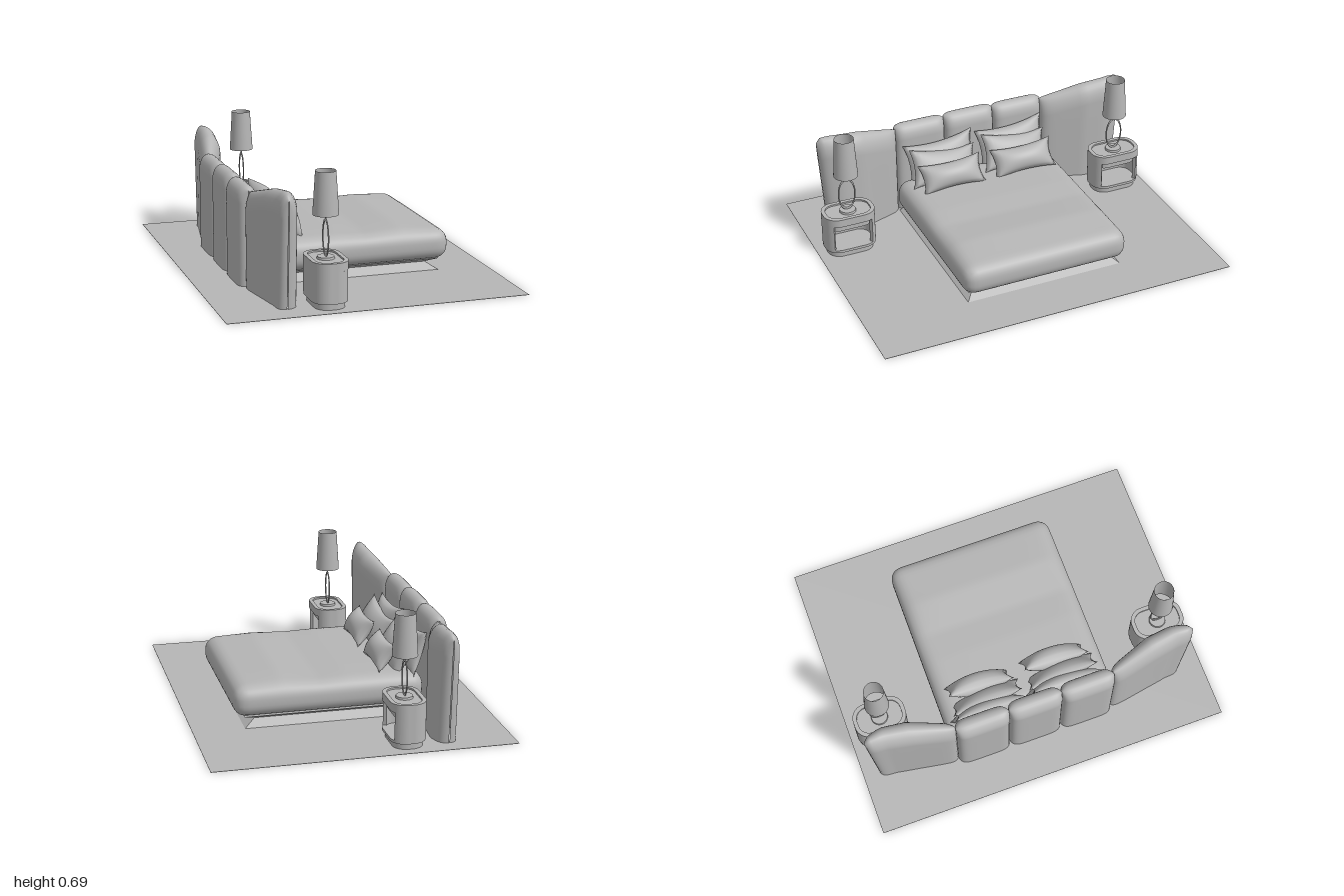
import * as THREE from 'three';
import { mergeVertices, mergeGeometries } from 'three/addons/utils/BufferGeometryUtils.js';

const grey = new THREE.MeshStandardMaterial({ color: 0xb6b6b6, side: THREE.DoubleSide });
grey.name = 'warm grey';

function add(parent, name, geometry, x = 0, y = 0, z = 0) {
  const mesh = new THREE.Mesh(geometry, grey);
  mesh.name = name;
  mesh.position.set(x, y, z);
  parent.add(mesh);
  return mesh;
}

// piecewise linear lookup in [t, value] pairs
function lookup(pairs, t) {
  for (let i = 1; i < pairs.length; i++) {
    const [a, va] = pairs[i - 1], [b, vb] = pairs[i];
    if (t <= b) return va + (vb - va) * (t - a) / (b - a);
  }
  return pairs[pairs.length - 1][1];
}

function smooth(geometry) {
  geometry.deleteAttribute('normal');
  geometry.deleteAttribute('uv');
  const merged = mergeVertices(geometry, 1e-5);
  merged.computeVertexNormals();
  return merged;
}

// upholstered slab: arch sections in x/y, swept along z; section(t) gives z, x, half, height, cap, skew
function slab(section, rows = 28) {
  const pos = [], index = [], cols = 22;
  for (let i = 0; i <= rows; i++) {
    const t = (1 - Math.cos(Math.PI * i / rows)) / 2;
    const { z, x, half, height, cap, skew = 0 } = section(t);
    for (let j = 0; j <= cols; j++) {
      let px, py;
      if (j < 4 || j > cols - 4) {
        const k = j < 4 ? j : cols - j;
        px = j < 4 ? half : -half;
        py = 0.001 + (height - cap) * k / 4;
      } else {
        const a = Math.PI * (j - 4) / (cols - 8);
        px = half * Math.cos(a);
        py = height - cap + cap * Math.sin(a);
      }
      pos.push(x + px, py, z + skew * (py / height - 1));
    }
  }
  for (let i = 0; i < rows; i++) for (let j = 0; j < cols; j++) {
    const a = i * (cols + 1) + j, b = a + cols + 1;
    index.push(a, a + 1, b, b, a + 1, b + 1);
  }
  const g = new THREE.BufferGeometry();
  g.setAttribute('position', new THREE.Float32BufferAttribute(pos, 3));
  // outward faces: front faces +x
  g.setIndex(index.flatMap((_, i) => i % 3 ? [] : [index[i], index[i + 2], index[i + 1]]));
  g.computeVertexNormals();
  return g;
}

const roundEnd = (t, n) => Math.sqrt(Math.max(0, 1 - Math.pow(Math.abs(2 * t - 1), n)));

// rounded box whose subdivided faces can be shaped further
function cushionBox(w, h, d, r) {
  const g = new THREE.BoxGeometry(w, h, d, 40, 10, 38), p = g.attributes.position;
  const v = new THREE.Vector3(), core = new THREE.Vector3();
  const lim = new THREE.Vector3(w / 2 - r, h / 2 - r, d / 2 - r), neg = lim.clone().negate();
  for (let i = 0; i < p.count; i++) {
    v.fromBufferAttribute(p, i);
    core.copy(v).clamp(neg, lim);
    v.sub(core).normalize().multiplyScalar(r).add(core);
    if (v.y > 0) {
      const edge = Math.max(0, 1 - Math.pow(2 * v.z / d, 6));
      v.y += (v.y / (h / 2)) * edge * lookup([[-0.51, 0.01], [-0.1, 0.012], [0.05, 0.002], [0.25, 0.02], [0.42, 0.006], [0.51, 0]], v.x);
    }
    p.setXYZ(i, v.x, v.y, v.z);
  }
  return smooth(g);
}

// pillow with pinched corners and a soft middle
function pillowGeometry(w, h, thick) {
  const sides = [1, -1].map(s => {
    const g = new THREE.PlaneGeometry(2, 2, 16, 16);
    if (s < 0) g.rotateY(Math.PI);
    const p = g.attributes.position;
    for (let i = 0; i < p.count; i++) {
      const u = p.getX(i), v = p.getY(i);
      const puff = Math.pow(Math.max(0, (1 - u * u) * (1 - v * v)), 0.55);
      p.setXYZ(i, u * w / 2 * (1 - 0.1 * (1 - v * v)), v * h / 2 * (1 - 0.2 * (1 - u * u)), s * thick / 2 * puff);
    }
    return g;
  });
  return smooth(mergeGeometries(sides));
}

function pillow(parent, name, size, at, lean, roll, yaw = 0) {
  const m = add(parent, name, pillowGeometry(...size), ...at);
  m.rotation.set(-lean, Math.PI / 2 + yaw, roll, 'YXZ');
}

// rounded rectangle path of half sizes a, b
function roundRect(a, b, r, Type = THREE.Shape) {
  const s = new Type();
  s.absarc(a - r, b - r, r, 0, Math.PI / 2);
  s.absarc(r - a, b - r, r, Math.PI / 2, Math.PI);
  s.absarc(r - a, r - b, r, Math.PI, Math.PI * 1.5);
  s.absarc(a - r, r - b, r, Math.PI * 1.5, Math.PI * 2);
  s.closePath();
  return s;
}

function upright(shape, y0, y1) {
  const g = new THREE.ExtrudeGeometry(shape, { depth: y1 - y0, bevelEnabled: false, curveSegments: 10 });
  return g.rotateX(-Math.PI / 2).translate(0, y0, 0);
}

function nightstand() {
  const g = new THREE.Group();
  g.name = 'nightstand';
  add(g, 'plinth', upright(roundRect(0.08, 0.13, 0.07), 0.001, 0.035));
  add(g, 'bottomShelf', upright(roundRect(0.094, 0.144, 0.08), 0.035, 0.05));
  // curved shell, open towards the foot of the bed
  const shell = new THREE.Shape(), a = 0.95;
  shell.absarc(0.015, 0.065, 0.08, a - 0.35, Math.PI / 2);
  shell.absarc(-0.015, 0.065, 0.08, Math.PI / 2, Math.PI);
  shell.absarc(-0.015, -0.065, 0.08, Math.PI, Math.PI * 1.5);
  shell.absarc(0.015, -0.065, 0.08, Math.PI * 1.5, Math.PI * 2 - a + 0.35);
  shell.absarc(0.015, -0.065, 0.06, Math.PI * 2 - a + 0.35, Math.PI * 1.5, true);
  shell.absarc(-0.015, -0.065, 0.06, Math.PI * 1.5, Math.PI, true);
  shell.absarc(-0.015, 0.065, 0.06, Math.PI, Math.PI / 2, true);
  shell.absarc(0.015, 0.065, 0.06, Math.PI / 2, a - 0.35, true);
  shell.closePath();
  add(g, 'shell', upright(shell, 0.05, 0.2));
  add(g, 'drawer', upright(roundRect(0.07, 0.12, 0.055), 0.16, 0.2));
  const rim = roundRect(0.095, 0.145, 0.08);
  rim.holes.push(roundRect(0.073, 0.123, 0.06, THREE.Path));
  add(g, 'topRim', upright(rim, 0.2, 0.245));
  add(g, 'tray', upright(roundRect(0.075, 0.125, 0.06), 0.2, 0.236));
  return g;
}

function lamp() {
  const g = new THREE.Group();
  g.name = 'tableLamp';
  add(g, 'foot', new THREE.CylinderGeometry(0.044, 0.046, 0.012, 32), 0, 0.242, 0);
  const ring = add(g, 'ringStem', new THREE.TorusGeometry(0.047, 0.004, 8, 40), 0, 0.343, 0);
  ring.rotation.y = Math.PI / 2;
  ring.scale.y = 1.95;
  add(g, 'rod', new THREE.CylinderGeometry(0.004, 0.004, 0.06, 10), 0, 0.465, 0);
  add(g, 'shade', new THREE.CylinderGeometry(0.053, 0.067, 0.225, 36, 1, true), 0, 0.575, 0);
  add(g, 'shadeBar', new THREE.BoxGeometry(0.005, 0.004, 0.118), 0, 0.495, 0);
  return g;
}

export function createModel() {
  const model = new THREE.Group();
  model.name = 'bedroomSet';
  const mid = -0.022;

  add(model, 'rug', new THREE.BoxGeometry(1.6, 0.002, 2), 0, 0.001, 0);

  // bed plinth with a waist and a flared foot
  const base = new THREE.CylinderGeometry(1, 1, 0.065, 4, 2).rotateY(Math.PI / 4).toNonIndexed();
  const bp = base.attributes.position;
  for (let i = 0; i < bp.count; i++) {
    const y = bp.getY(i), waist = Math.abs(y) < 0.01;
    const x = bp.getX(i) * Math.SQRT2, z = bp.getZ(i) * Math.SQRT2;
    bp.setXYZ(i, x > 0 ? x * (waist ? 0.465 : 0.525) : x * 0.47, (waist ? 0.04 : y + 0.0335), z * (waist ? 0.4 : 0.45));
  }
  base.computeVertexNormals();
  add(model, 'bedBase', base, 0, 0, mid);
  add(model, 'mattress', cushionBox(1.03, 0.165, 0.95, 0.07), 0.065, 0.143, mid + 0.006);

  // headboard: three padded panels and two wings
  for (let k = -1; k <= 1; k++) {
    add(model, 'headboardPanel', slab(t => ({
      z: mid + k * 0.299 + (t - 0.5) * 0.299, x: -0.527,
      half: 0.004 + 0.054 * roundEnd(t, 7),
      height: 0.537 - 0.018 * Math.pow(Math.abs(2 * t - 1), 8) - (k ? 0.004 : 0), cap: 0.08,
    })));
  }
  for (const s of [-1, 1]) {
    add(model, 'headboardWing', slab(q => {
      const t = s > 0 ? q : 1 - q;
      return {
        z: mid + s * (0.445 + 0.482 * t),
        x: lookup([[0, -0.515], [0.5, -0.457], [0.78, -0.441], [1, -0.452]], t),
        half: 0.002 + roundEnd(t, 12) * lookup([[0, 0.046], [0.5, 0.064], [0.75, 0.06], [0.92, 0.05], [1, 0.045]], t),
        height: lookup([[0, 0.51], [0.5, 0.577], [0.83, 0.598], [0.95, 0.594], [1, 0.565]], t),
        cap: 0.11, skew: s * 0.04 * t * t,
      };
    }));
  }

  // pillows, layered on each half of the bed
  for (const z of [-0.25, 0.185]) {
    pillow(model, 'backPillow', [0.42, 0.25, 0.11], [-0.425, 0.315, z], 0.3, 0.06);
    pillow(model, 'middlePillow', [0.4, 0.22, 0.1], [-0.355, 0.305, z + 0.01], 0.55, -0.14, 0.1);
    pillow(model, 'frontPillow', [0.37, 0.17, 0.12], [-0.262, 0.3, z], 0.6, 0.05, -0.06);
  }

  for (const s of [-1, 1]) {
    const set = new THREE.Group();
    set.name = 'bedside';
    set.add(nightstand(), lamp());
    set.position.set(-0.237, 0, s * 0.815);
    model.add(set);
  }
  return model;
}
